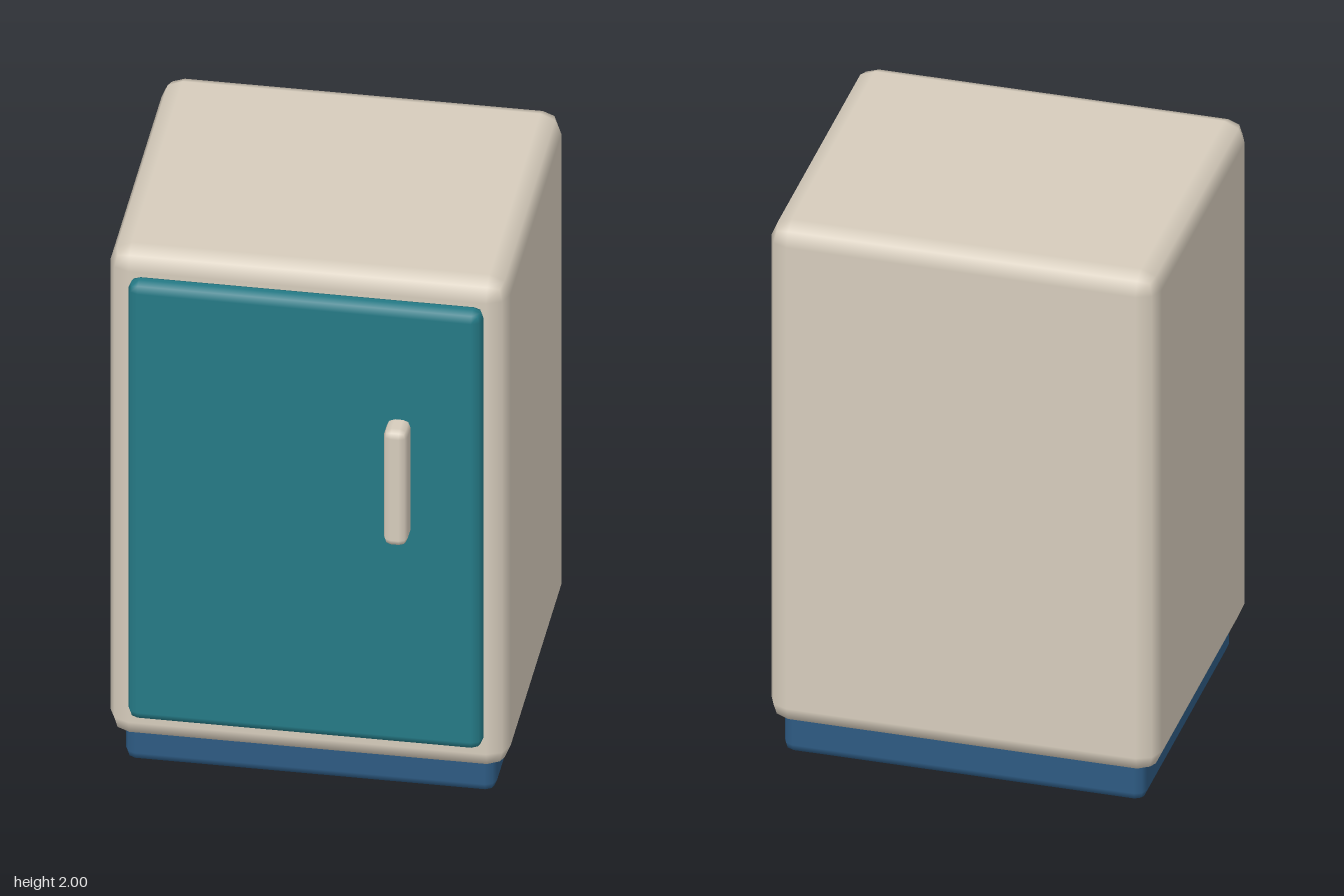
import * as THREE from 'three';
import { RoundedBoxGeometry } from 'three/addons/geometries/RoundedBoxGeometry.js';

function material(name, color) {
  const m = new THREE.MeshStandardMaterial({ color });
  m.name = name;
  return m;
}

// Rounded box spanning two opposite corners
function block(name, mat, min, max, radius, segments) {
  const size = max.map((v, i) => v - min[i]);
  const mesh = new THREE.Mesh(new RoundedBoxGeometry(...size, segments, radius), mat);
  mesh.position.set(...max.map((v, i) => (v + min[i]) / 2));
  mesh.name = name;
  return mesh;
}

export function createModel() {
  const group = new THREE.Group();
  group.name = 'cabinet';
  const cream = material('cream', 0xd6ccbc);
  const teal = material('teal', 0x257a86);
  const blue = material('navy blue', 0x2d5a82);

  group.add(
    // Recessed plinth
    block('base', blue, [-0.615, 0, -0.615], [0.615, 0.17, 0.44], 0.035, 1),
    // Main cabinet
    block('body', cream, [-0.663, 0.115, -0.643], [0.663, 2, 0.492], 0.07, 1),
    // Front door and its upright handle
    block('door', teal, [-0.588, 0.23, 0.475], [0.588, 1.92, 0.555], 0.035, 1),
    block('handle', cream, [0.275, 1.05, 0.535], [0.355, 1.495, 0.643], 0.027, 1),
  );
  return group;
}
